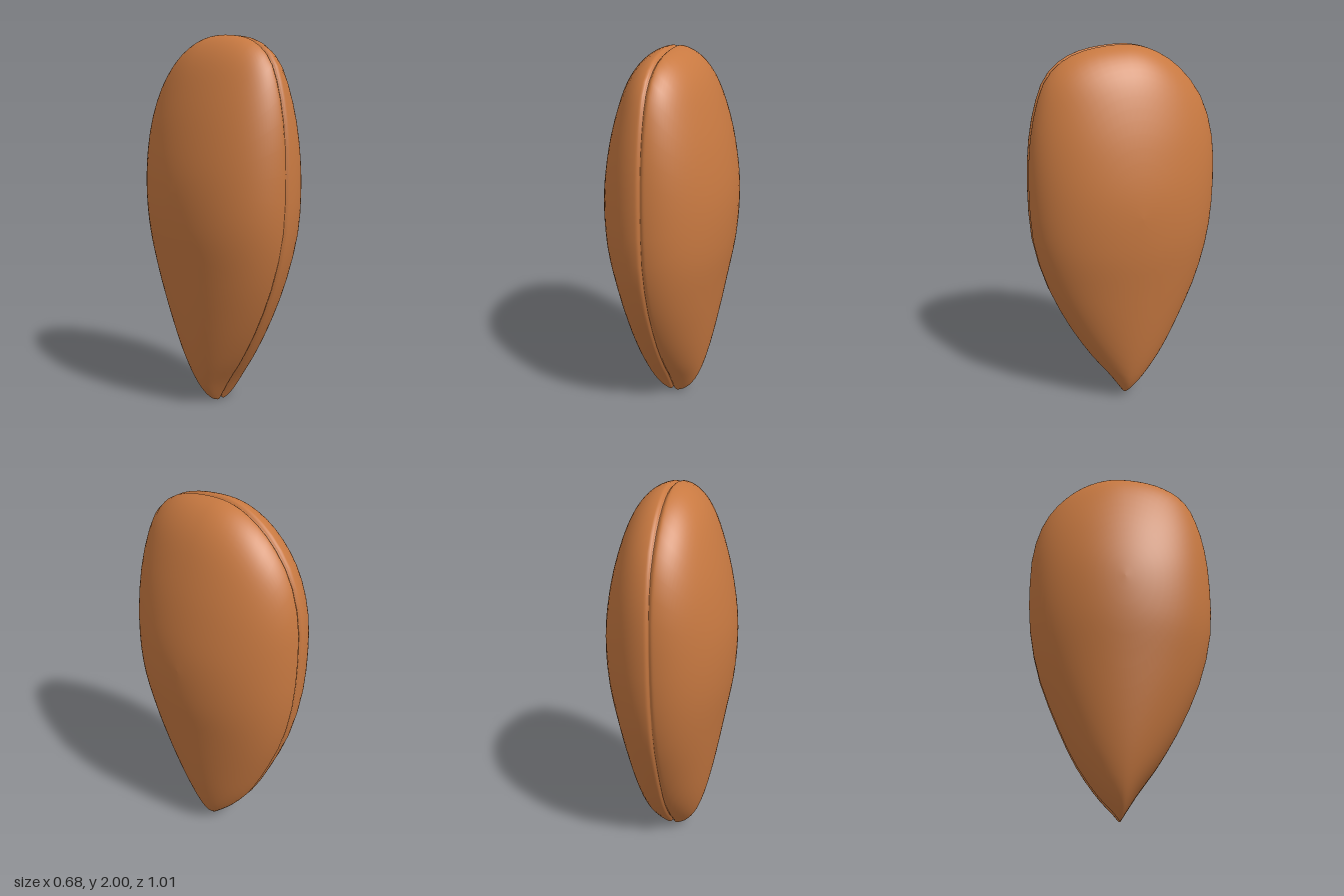
import * as THREE from 'three';

// Profiles sampled at equal angles u, where height = 1 - cos(u)
const WIDTH = [0, 0.08, 0.148, 0.2, 0.245, 0.288, 0.33, 0.338, 0.305, 0.25, 0.185, 0.1, 0];
const FRONT = [0, 0.025, 0.09, 0.205, 0.325, 0.43, 0.495, 0.507, 0.495, 0.455, 0.385, 0.24, 0];
const BACK = [0, 0.03, 0.125, 0.235, 0.335, 0.43, 0.487, 0.503, 0.492, 0.43, 0.31, 0.16, 0];

// Smooth (Catmull-Rom) lookup in a profile
function sample(p, u) {
  const f = THREE.MathUtils.clamp((u / Math.PI) * 12, 0, 12);
  const i = Math.min(Math.floor(f), 11);
  const t = f - i;
  const b = p[i], c = p[i + 1];
  const a = i > 0 ? p[i - 1] : 2 * b - c;
  const d = i < 11 ? p[i + 2] : 2 * c - b;
  return b + 0.5 * t * (c - a + t * (2 * a - 5 * b + 4 * c - d + t * (3 * (b - c) + d - a)));
}

// Angle of the widest point
let peak = 0;
for (let i = 0; i <= 1000; i++) {
  const u = (Math.PI * i) / 1000;
  if (sample(WIDTH, u) > sample(WIDTH, peak)) peak = u;
}
const MAX_X = sample(WIDTH, peak);

// Angle between the given end and the peak where the width equals x
function edgeAngle(x, end) {
  let lo = end, hi = peak;
  for (let i = 0; i < 40; i++) {
    const mid = (lo + hi) / 2;
    if (sample(WIDTH, mid) < x) lo = mid;
    else hi = mid;
  }
  return hi;
}

// One half of the seed, from the seam out to its cheek, in slices across x
function halfGeometry(side) {
  const slices = 28, around = 64;
  const positions = [], index = [];
  for (let i = 0; i <= slices; i++) {
    const x = MAX_X * Math.sin((Math.PI / 2) * (i / slices) ** 2);
    const u0 = i ? edgeAngle(x, 0) : 0;
    const u1 = i ? edgeAngle(x, Math.PI) : Math.PI;
    const groove = 1 - 0.018 * Math.exp(-((x / 0.01) ** 2));
    for (let j = 0; j < around; j++) {
      const t = (2 * Math.PI * j) / around;
      const u = (u0 + u1) / 2 - ((u1 - u0) / 2) * Math.cos(t);
      const w = Math.max(sample(WIDTH, u), 1e-6);
      const round = Math.sqrt(Math.max(0, 1 - (x / w) ** 2));
      const z = j <= around / 2 ? sample(FRONT, u) : -sample(BACK, u);
      const y = 1 - Math.cos(u);
      positions.push(side * x, 1.1 + (y - 1.1) * groove, z * round * groove);
      if (i === slices) continue;
      const a = i * around + j, b = i * around + ((j + 1) % around);
      const c = a + around, d = b + around;
      if (side > 0) index.push(a, c, b, b, c, d);
      else index.push(a, b, c, b, d, c);
    }
  }
  const geometry = new THREE.BufferGeometry();
  geometry.setAttribute('position', new THREE.Float32BufferAttribute(positions, 3));
  geometry.setIndex(index);
  geometry.computeVertexNormals();
  return geometry;
}

export function createModel() {
  const model = new THREE.Group();
  model.name = 'seed';
  const shell = new THREE.MeshStandardMaterial({ color: 0xc87941 });
  shell.name = 'warm brown shell';

  // Two mirrored halves meeting in the seam groove
  for (const side of [1, -1]) {
    const half = new THREE.Mesh(halfGeometry(side), shell);
    half.name = side > 0 ? 'leftHalf' : 'rightHalf';
    model.add(half);
  }
  return model;
}
